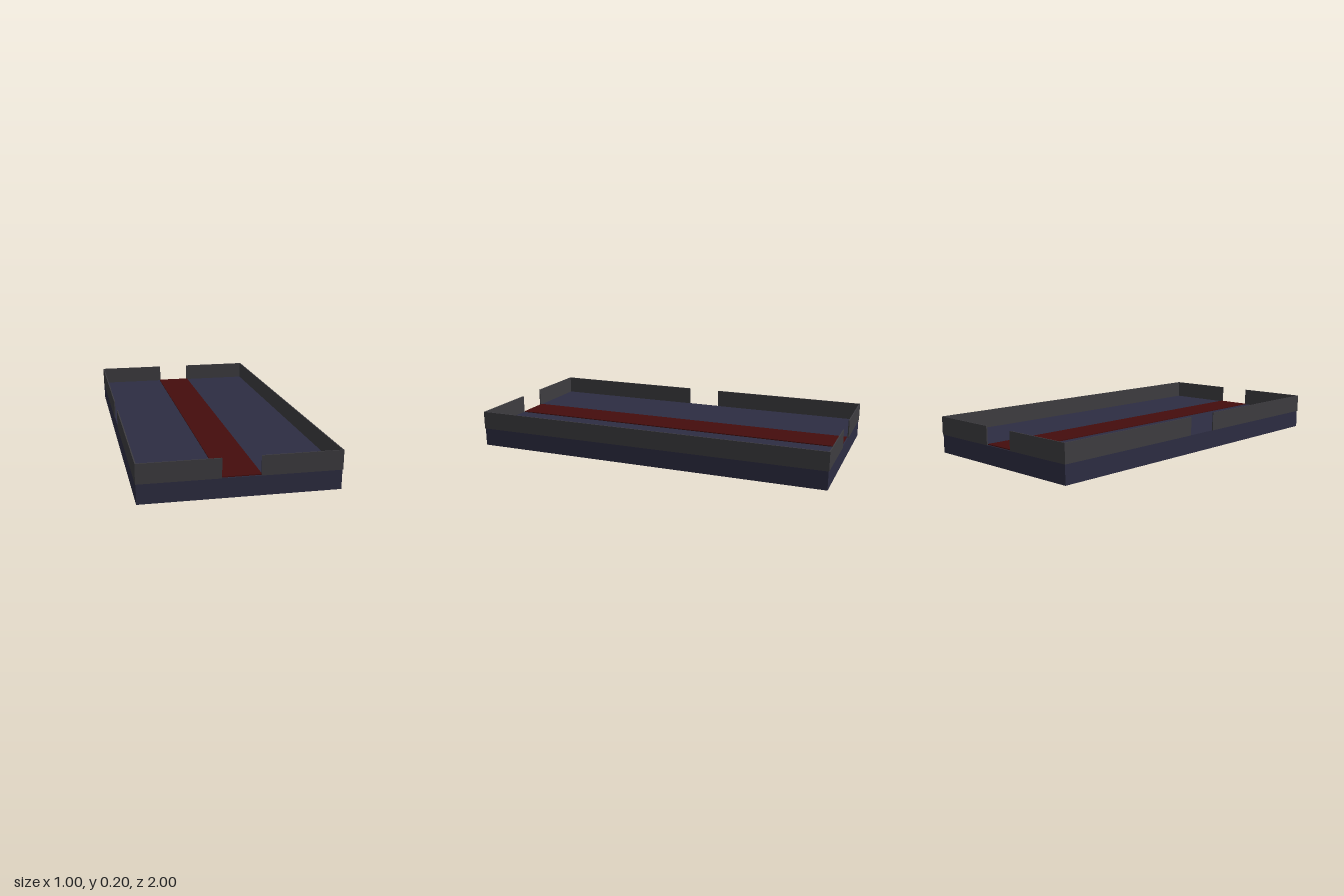
import * as THREE from 'three';

const material = (name, color) => {
  const m = new THREE.MeshStandardMaterial({ color });
  m.name = name;
  return m;
};

export function createModel() {
  const group = new THREE.Group();
  group.name = 'walledPlatform';
  const stone = material('slate blue', 0x2d2d42);
  const wall = material('charcoal', 0x3d3c40);
  const carpet = material('dark red', 0x450d0d);

  // Box given by its min and max corners
  const box = (name, mat, x0, x1, y0, y1, z0, z1) => {
    const mesh = new THREE.Mesh(new THREE.BoxGeometry(x1 - x0, y1 - y0, z1 - z0), mat);
    mesh.position.set((x0 + x1) / 2, (y0 + y1) / 2, (z0 + z1) / 2);
    mesh.name = name;
    group.add(mesh);
  };

  const T = 0.006; // wall thickness
  const Y0 = 0.1, Y1 = 0.2;

  // Floor slab, slightly inset from the walls
  box('floorSlab', stone, -0.497, 0.497, 0, Y0, -0.997, 0.997);

  // Carpet running the full length
  box('carpet', carpet, -0.1, 0.1, Y0, 0.105, -0.99, 0.99);

  // End walls, each split by a central doorway
  for (const [name, z] of [['frontWall', 1 - T], ['backWall', -1]]) {
    box(name + 'Left', wall, 0.095, 0.5, Y0, Y1, z, z + T);
    box(name + 'Right', wall, -0.5, -0.095, Y0, Y1, z, z + T);
  }

  // Solid left wall; right wall has a side doorway
  box('leftWall', wall, 0.5 - T, 0.5, Y0, Y1, -1 + T, 1 - T);
  box('rightWallFront', wall, -0.5, -0.5 + T, Y0, Y1, 0.097, 1 - T);
  box('rightWallBack', wall, -0.5, -0.5 + T, Y0, Y1, -1 + T, -0.097);

  return group;
}
